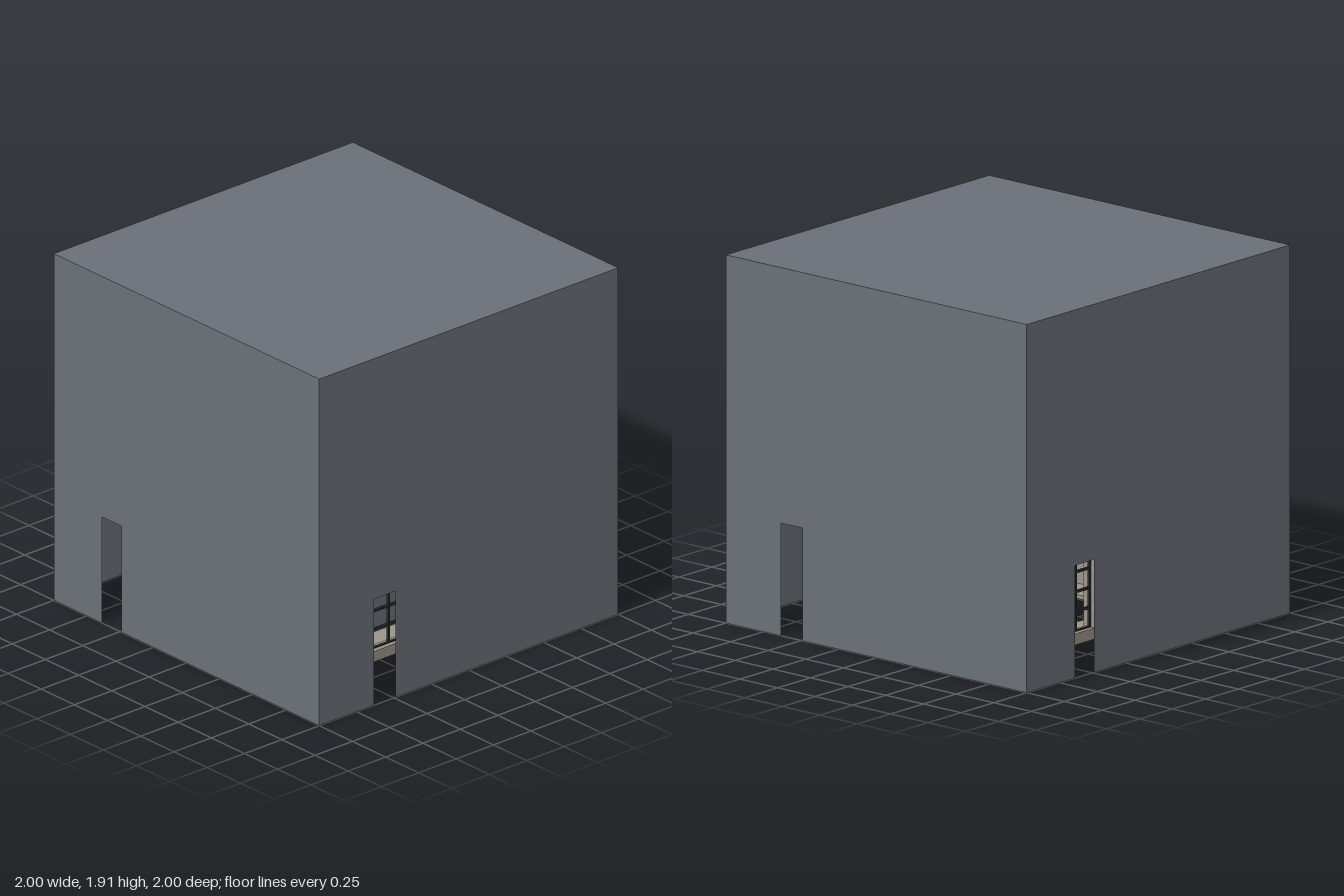
import * as THREE from 'three';

export function createModel() {
  const model = new THREE.Group();
  model.name = 'walledPavilion';

  const shellGrey = new THREE.MeshStandardMaterial({ color: 0x6b7078, side: THREE.DoubleSide });
  shellGrey.name = 'shell grey';
  const stone = new THREE.MeshStandardMaterial({ color: 0x9c968a });
  stone.name = 'beige stone';
  const iron = new THREE.MeshStandardMaterial({ color: 0x2b2c2e });
  iron.name = 'window iron';
  const slate = new THREE.MeshStandardMaterial({ color: 0x44474f });
  slate.name = 'dark slate';

  const H = 1.91;      // shell height
  const BASE = 0.03;   // underside of the pavilion
  const TOP = 0.575;   // top of the pavilion walls

  // Box given by its two opposite corners
  function block(parent, name, material, x0, x1, y0, y1, z0, z1) {
    const mesh = new THREE.Mesh(new THREE.BoxGeometry(x1 - x0, y1 - y0, z1 - z0), material);
    mesh.position.set((x0 + x1) / 2, (y0 + y1) / 2, (z0 + z1) / 2);
    mesh.name = name;
    parent.add(mesh);
  }

  // Window with iron bars, open between them
  function gridWindow(parent, x0, x1) {
    const y0 = 0.09, y1 = 0.5, z0 = 0.625, z1 = 0.64, t = 0.006;
    for (let i = 0; i <= 3; i++) {
      const x = x0 + (x1 - x0) * i / 3;
      block(parent, 'windowUpright', iron, x - t, x + t, y0, y1, z0, z1);
    }
    for (let j = 0; j <= 4; j++) {
      const y = y0 + (y1 - y0) * j / 4;
      block(parent, 'windowCrossbar', iron, x0, x1, y - t, y + t, z0, z1);
    }
  }

  // Outer wall with its doorway notch
  const wallShape = new THREE.Shape([
    [-1, 0], [-0.635, 0], [-0.635, 0.585], [-0.49, 0.585], [-0.49, 0], [1, 0], [1, H], [-1, H],
  ].map(([x, y]) => new THREE.Vector2(x, y)));
  const wallGeometry = new THREE.ShapeGeometry(wallShape);

  // Four identical sides turned around the centre
  for (let k = 0; k < 4; k++) {
    const side = new THREE.Group();
    side.name = 'side' + (k + 1);
    side.rotation.y = k * Math.PI / 2;

    const wall = new THREE.Mesh(wallGeometry, shellGrey);
    wall.name = 'outerWall';
    wall.position.z = 1;
    side.add(wall);

    block(side, 'projectingPier', stone, -0.63, -0.43, BASE, TOP, 0.58, 0.71);
    block(side, 'middlePier', stone, -0.1, 0.1, BASE, TOP, 0.59, 0.69);
    block(side, 'cornerPier', stone, 0.43, 0.65, BASE, TOP, 0.58, 0.68);
    block(side, 'lintel', stone, -0.44, 0.44, 0.5, TOP, 0.6, 0.665);
    block(side, 'sill', stone, -0.44, 0.44, BASE + 0.002, 0.09, 0.6, 0.665);
    gridWindow(side, -0.425, -0.105);
    gridWindow(side, 0.105, 0.425);
    model.add(side);
  }

  // Flat roof of the shell
  const roof = new THREE.Mesh(new THREE.PlaneGeometry(2, 2), shellGrey);
  roof.name = 'shellRoof';
  roof.rotation.x = -Math.PI / 2;
  roof.position.y = H;
  model.add(roof);

  // Pavilion floor with an eight-sided opening
  const R = 0.64, a = 0.425, b = 0.187;
  const floorShape = new THREE.Shape([
    [-R, -R], [R, -R], [R, R], [-R, R],
  ].map(([x, y]) => new THREE.Vector2(x, y)));
  floorShape.holes.push(new THREE.Path([
    [a, -b], [b, -a], [-b, -a], [-a, -b], [-a, b], [-b, a], [b, a], [a, b],
  ].map(([x, y]) => new THREE.Vector2(x, y))));
  const floor = new THREE.Mesh(
    new THREE.ExtrudeGeometry(floorShape, { depth: 0.02, bevelEnabled: false }), stone);
  floor.name = 'pavilionFloor';
  floor.rotation.x = -Math.PI / 2;
  floor.position.y = BASE;
  model.add(floor);

  // Diagonal slab beneath the opening
  const slab = new THREE.Mesh(new THREE.BoxGeometry(0.68, 0.012, 0.68), slate);
  slab.name = 'diagonalSlab';
  slab.rotation.y = Math.PI / 4;
  slab.position.y = 0.024;
  model.add(slab);

  return model;
}
